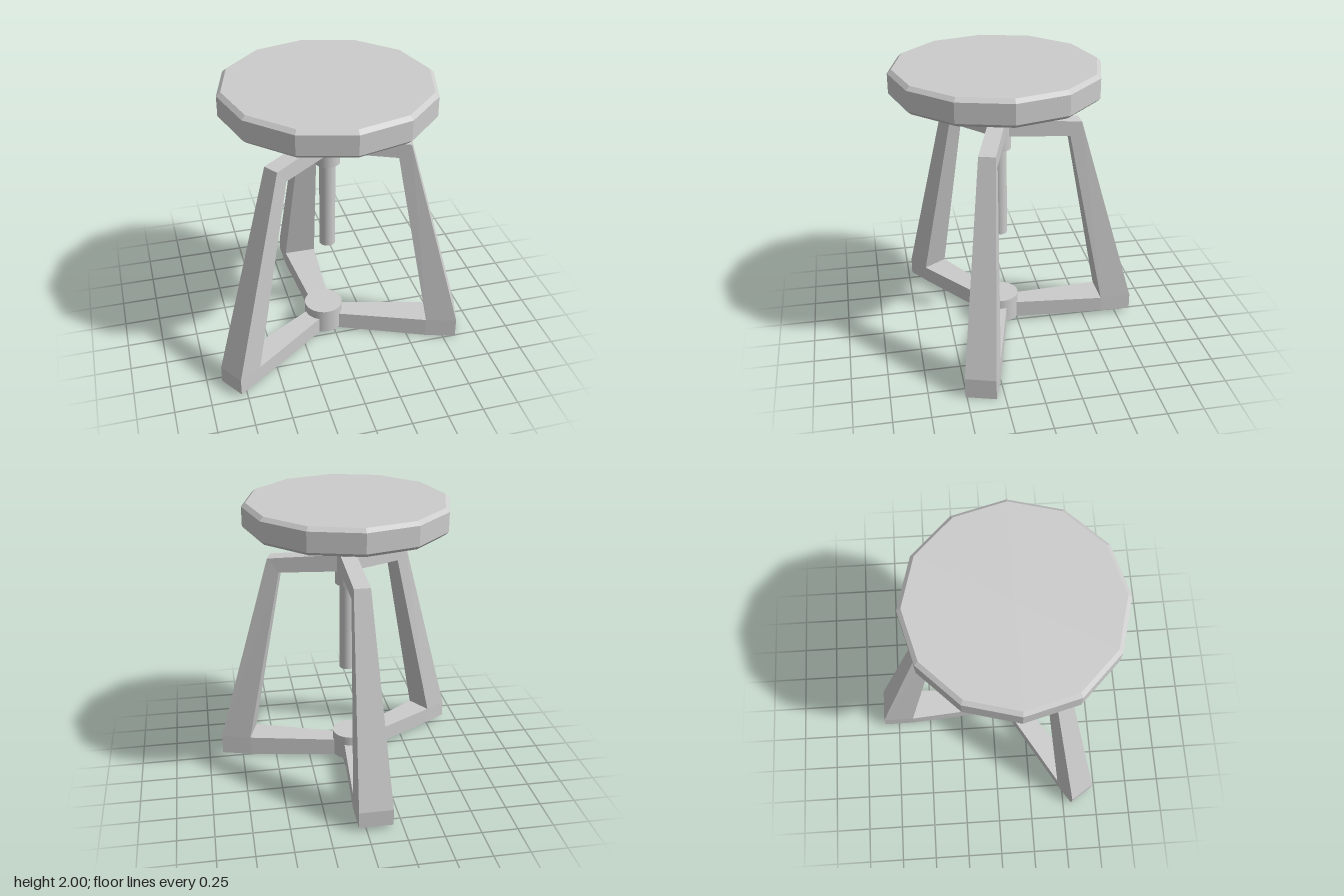
import * as THREE from 'three';

const material = new THREE.MeshStandardMaterial({ color: 0xcccccc });
const flatMaterial = new THREE.MeshStandardMaterial({ color: 0xcccccc, flatShading: true });

// Upright cylinder between two heights
function post(name, radius, y0, y1, x, z) {
  const mesh = new THREE.Mesh(new THREE.CylinderGeometry(radius, radius, y1 - y0, 32), material);
  mesh.name = name;
  mesh.position.set(x, (y0 + y1) / 2, z);
  return mesh;
}

// Bent leg frame: foot beam, upright and top arm, swept through four-cornered sections
function leg(name, angle, reach, kneeReach, footWidth, footY) {
  const d = [Math.cos(angle), Math.sin(angle)];
  const w = footWidth / 2;
  const low = -0.063, high = -0.033; // axis x at the foot and at the top
  // [outer r, outer y, inner r, inner y, half width, axis x]
  const stations = [
    [0, 0.03, 0, 0.155, 0.06, low],
    [0.755, footY + 0.003, 0.755, 0.145, w, low],
    [reach, footY, 0.755, 0.145, w, low],
    [reach, 0.147, 0.755, 0.145, w, low],
    [kneeReach, 1.57, kneeReach - 0.08, 1.47, 0.056, high],
    [0.03, 1.62, 0.03, 1.5, 0.056, high],
  ];
  const corner = (r, y, s, axis) => [axis + r * d[0] - s * d[1], y, 0.125 + r * d[1] + s * d[0]];
  const rings = stations.map(([ro, yo, ri, yi, h, axis]) => [
    corner(ro, yo, h, axis), corner(ro, yo, -h, axis),
    corner(ri, yi, -h, axis), corner(ri, yi, h, axis),
  ]);
  const positions = [];
  const quad = (a, b, c, e) => positions.push(...a, ...b, ...c, ...a, ...c, ...e);
  for (let i = 0; i < rings.length - 1; i++) {
    for (let j = 0; j < 4; j++) {
      const k = (j + 1) % 4;
      quad(rings[i][j], rings[i][k], rings[i + 1][k], rings[i + 1][j]);
    }
  }
  const geometry = new THREE.BufferGeometry();
  geometry.setAttribute('position', new THREE.Float32BufferAttribute(positions, 3));
  geometry.computeVertexNormals();
  const mesh = new THREE.Mesh(geometry, flatMaterial);
  mesh.name = name;
  return mesh;
}

export function createModel() {
  const model = new THREE.Group();
  model.name = 'stool';

  // Twelve-sided seat with bevelled rims
  const profile = [[0, 1.815], [0.685, 1.815], [0.713, 1.84], [0.713, 1.975], [0.685, 2], [0, 2]];
  const seat = new THREE.Mesh(
    new THREE.LatheGeometry(profile.map(([r, y]) => new THREE.Vector2(r, y)), 12),
    flatMaterial
  );
  seat.name = 'seat';
  seat.position.set(-0.033, 0, 0.137);
  model.add(seat);

  // Central screw, collar and foot hub
  model.add(post('screw', 0.055, 0.75, 1.82, -0.033, 0.125));
  model.add(post('collar', 0.085, 1.4, 1.73, -0.033, 0.125));
  model.add(post('hub', 0.136, 0.037, 0.22, -0.063, 0.125));

  // Three slightly uneven legs
  model.add(leg('backLeg', -Math.PI / 2, 0.98, 0.572, 0.235, 0.03));
  model.add(leg('leftLeg', THREE.MathUtils.degToRad(17), 0.975, 0.555, 0.21, 0));
  model.add(leg('rightLeg', THREE.MathUtils.degToRad(146.5), 0.938, 0.53, 0.195, 0.025));

  return model;
}
